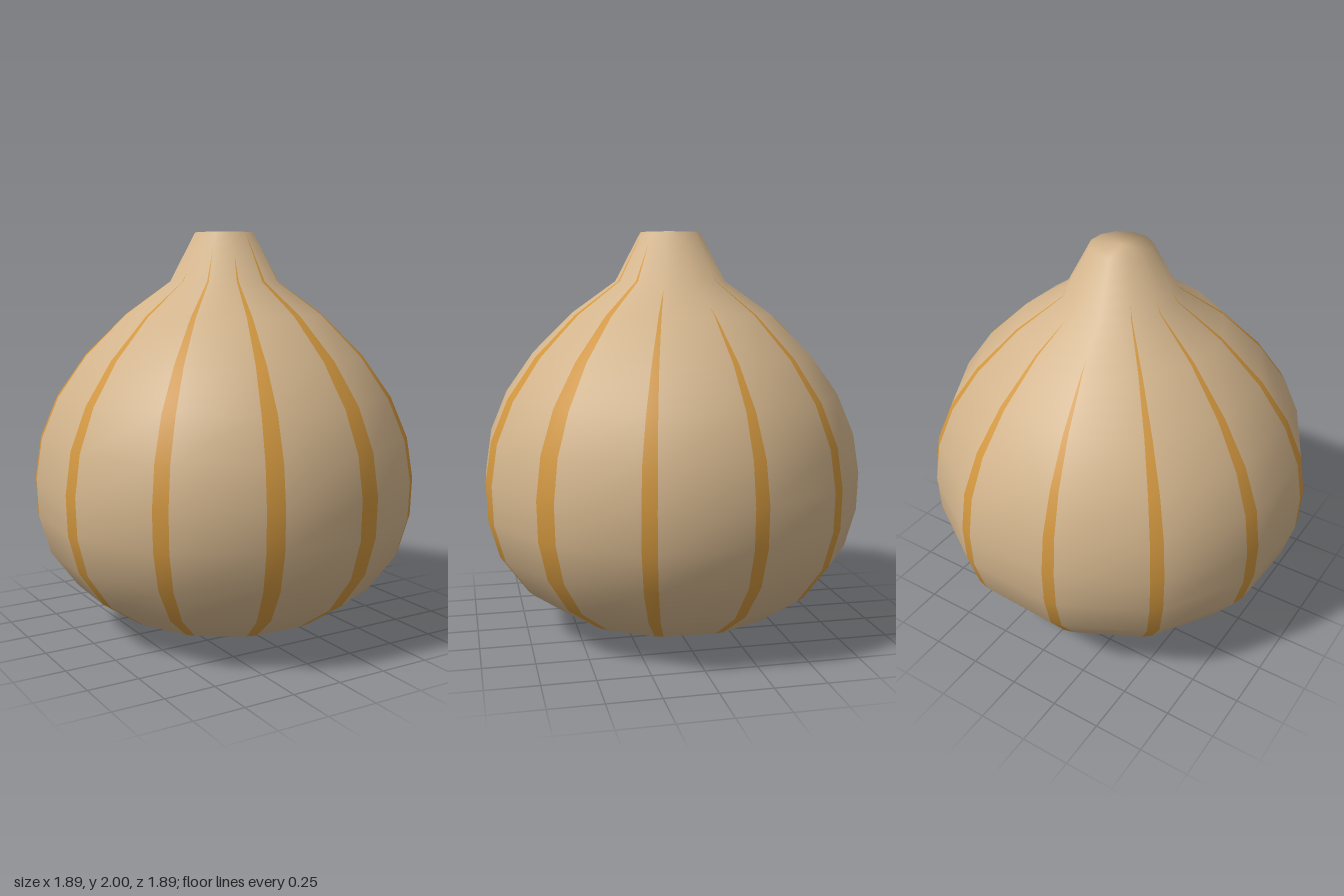
import * as THREE from 'three';

const SIDES = 12;
const START = THREE.MathUtils.degToRad(12.4);
const HALF_SIDE = Math.PI / SIDES;

// Bulb profile: [radius, height], closed at both ends
const PROFILE = [
  [0, 0], [0.302, 0], [0.57, 0.1], [0.775, 0.24], [0.908, 0.42], [0.963, 0.61],
  [0.97, 0.8], [0.938, 1.0], [0.852, 1.2], [0.708, 1.4], [0.503, 1.6],
  [0.277, 1.76], [0.149, 2], [0, 2],
];

// Width and top end of each stripe, counted from the front towards +x
const STRIPE_WIDTH = [0.11, 0.105, 0.07, 0.07, 0.075, 0.065, 0.06, 0.065, 0.075, 0.075, 0.075, 0.085];
const STRIPE_TIP = [1.98, 1.92, 1.71, 1.62, 1.8, 1.71, 1.62, 1.8, 1.78, 1.79, 1.89, 1.87];

// Rings with smooth profile normals; the shoulder is divided for the stripe tips
function makeRings() {
  const base = PROFILE.map(([r, y], i) => {
    const n = new THREE.Vector2();
    for (const [p, q] of [[PROFILE[i - 1], PROFILE[i]], [PROFILE[i], PROFILE[i + 1]]]) {
      if (!p || !q) continue;
      const w = p[0] + q[0];
      n.x += (q[1] - p[1]) * w;
      n.y -= (q[0] - p[0]) * w;
    }
    n.normalize();
    return [r, y, n.x, n.y];
  });
  const rings = [];
  for (let i = 0; i < base.length - 1; i++) {
    const steps = base[i][1] >= 1.2 && base[i][1] < 2 ? 4 : 1;
    for (let s = 0; s < steps; s++) {
      rings.push(base[i].map((v, k) => THREE.MathUtils.lerp(v, base[i + 1][k], s / steps)));
    }
  }
  rings.push(base[base.length - 1]);
  return rings;
}

export function createModel() {
  const skin = new THREE.MeshStandardMaterial({ color: 0xd2b48c });
  skin.name = 'tan skin';
  const vein = new THREE.MeshStandardMaterial({ color: 0xd0963f });
  vein.name = 'golden stripe';

  const rings = makeRings();
  const positions = [], normals = [], skinIndex = [], stripeIndex = [];
  const cols = SIDES * 2;

  // Each corner of the twelve-sided bulb is cut flat where a stripe runs
  for (const [r, y, nr, ny] of rings) {
    for (let k = 0; k < SIDES; k++) {
      const taper = Math.sqrt(THREE.MathUtils.clamp((STRIPE_TIP[k] - y) / 0.7, 0, 1));
      const half = (STRIPE_WIDTH[k] / 2 / 0.96) * taper;
      const cut = r * Math.cos(HALF_SIDE) / Math.cos(HALF_SIDE - half);
      for (const side of [-1, 1]) {
        const a = START + k * 2 * HALF_SIDE + side * half;
        positions.push(cut * Math.sin(a), y, cut * Math.cos(a));
        normals.push(nr * Math.sin(a), ny, nr * Math.cos(a));
      }
    }
  }

  for (let i = 0; i < rings.length - 1; i++) {
    const cap = i === 0 || i === rings.length - 2;
    for (let j = 0; j < cols; j++) {
      const a = i * cols + j, b = i * cols + (j + 1) % cols;
      const target = j % 2 === 0 && !cap ? stripeIndex : skinIndex;
      target.push(a, b, b + cols, a, b + cols, a + cols);
    }
  }

  const group = new THREE.Group();
  group.name = 'bulb';
  const addPart = (name, index, material) => {
    const g = new THREE.BufferGeometry();
    g.setAttribute('position', new THREE.Float32BufferAttribute(positions, 3));
    g.setAttribute('normal', new THREE.Float32BufferAttribute(normals, 3));
    g.setIndex(index);
    const mesh = new THREE.Mesh(g, material);
    mesh.name = name;
    group.add(mesh);
  };
  addPart('bulbSkin', skinIndex, skin);
  addPart('stripes', stripeIndex, vein);
  return group;
}
